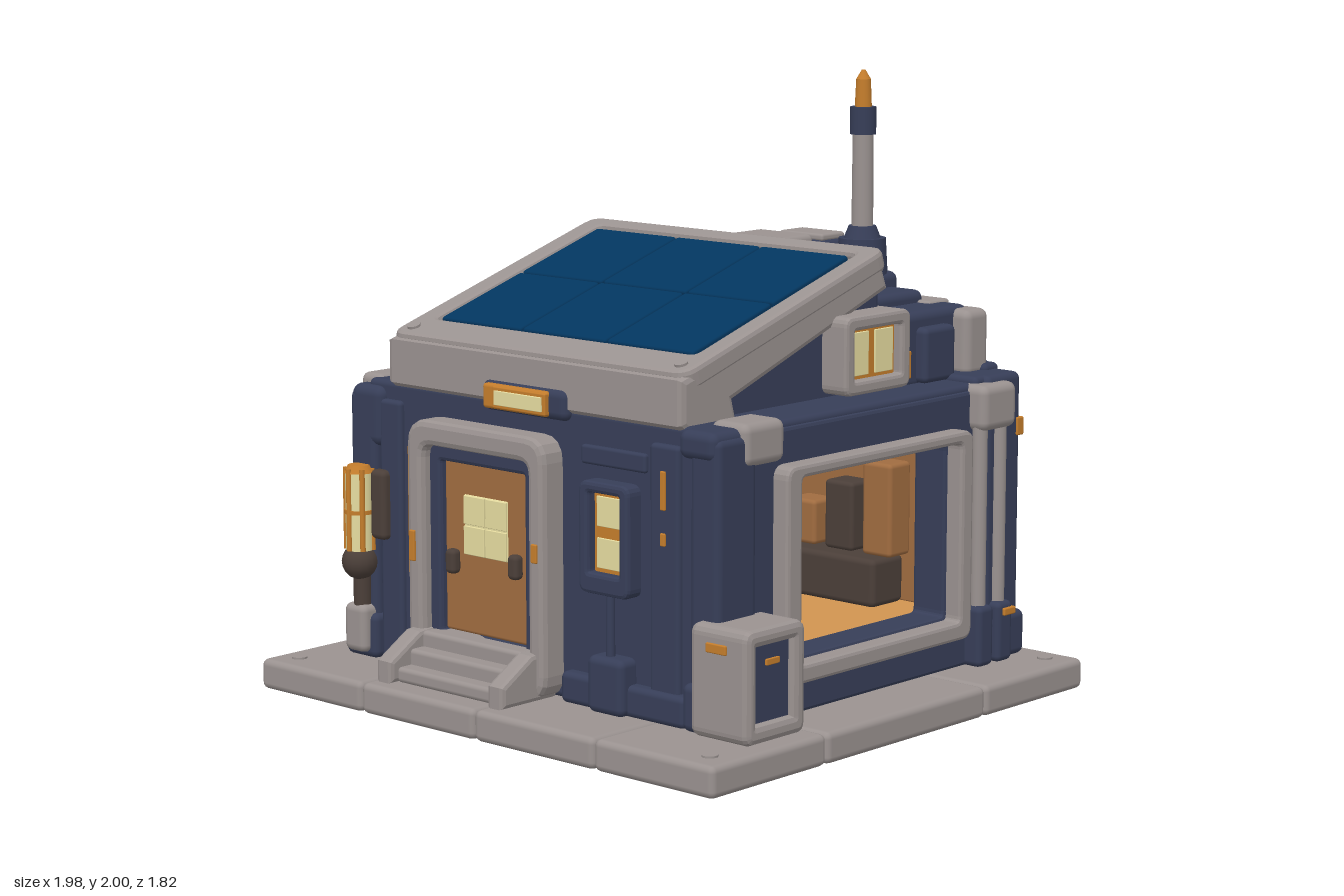
import * as THREE from 'three';
import { RoundedBoxGeometry } from 'three/addons/geometries/RoundedBoxGeometry.js';

const material = (name, color) => Object.assign(new THREE.MeshStandardMaterial({ color }), { name });

export function createModel() {
  const model = new THREE.Group();
  model.name = 'cabin';
  const grey = material('weathered grey', 0x9a9290);
  const navy = material('navy panel', 0x373e58);
  const solar = material('solar blue', 0x03365f);
  const orange = material('orange trim', 0xc47d2c);
  const tan = material('interior tan', 0xd09450);
  const brown = material('door brown', 0xa06c40);
  const glow = material('window glow', 0xe6dca0);
  const dark = material('dark brown', 0x4b3f39);

  const add = (parent, name, geo, mat, x = 0, y = 0, z = 0) => {
    const m = new THREE.Mesh(geo, mat);
    m.name = name;
    m.position.set(x, y, z);
    parent.add(m);
    return m;
  };
  // Rounded box given by its extents
  const box = (name, mat, x0, x1, y0, y1, z0, z1, r = 0.02, parent = model) => {
    const w = x1 - x0, h = y1 - y0, d = z1 - z0;
    const geo = new RoundedBoxGeometry(w, h, d, 2, Math.min(r, Math.min(w, h, d) * 0.4));
    return add(parent, name, geo, mat, (x0 + x1) / 2, (y0 + y1) / 2, (z0 + z1) / 2);
  };
  const cyl = (name, mat, r0, r1, y0, y1, x, z, parent = model) =>
    add(parent, name, new THREE.CylinderGeometry(r1, r0, y1 - y0, 16), mat, x, (y0 + y1) / 2, z);
  const rect = (path, x0, x1, y0, y1, r) => {
    path.moveTo(x0 + r, y0);
    path.lineTo(x1 - r, y0).quadraticCurveTo(x1, y0, x1, y0 + r);
    path.lineTo(x1, y1 - r).quadraticCurveTo(x1, y1, x1 - r, y1);
    path.lineTo(x0 + r, y1).quadraticCurveTo(x0, y1, x0, y1 - r);
    path.lineTo(x0, y0 + r).quadraticCurveTo(x0, y0, x0 + r, y0);
    return path;
  };
  // Plate with a rectangular opening, facing +z
  const ring = (parent, name, mat, o, h, z0, z1, r = 0.03, b = 0.012) => {
    const s = rect(new THREE.Shape(), o[0] + b, o[1] - b, o[2] + b, o[3] - b, r);
    s.holes.push(rect(new THREE.Path(), h[0] - b, h[1] + b, h[2] - b, h[3] + b, r));
    const geo = new THREE.ExtrudeGeometry(s, { depth: z1 - z0 - 2 * b, bevelSize: b,
      bevelThickness: b, bevelSegments: 2, curveSegments: 4 });
    return add(parent, name, geo, mat, 0, 0, z0 + b);
  };
  // Profile of [z, y] points drawn across x
  const prism = (name, mat, pts, x0, x1, b = 0.015) => {
    const s = new THREE.Shape(pts.map(p => new THREE.Vector2(...p)));
    const geo = new THREE.ExtrudeGeometry(s, { depth: x1 - x0 - 2 * b, bevelSize: b,
      bevelThickness: b, bevelOffset: -b, bevelSegments: 2 });
    add(model, name, geo, mat, x1 - b, 0, 0).rotation.y = -Math.PI / 2;
  };
  // Glowing panes on a backing, facing +z
  const panes = (parent, name, x0, x1, y0, y1, z, cols, rows, trim = orange, g = 0.012) => {
    box(name + 'Backing', trim, x0, x1, y0, y1, z - 0.03, z, 0.005, parent);
    const w = (x1 - x0) / cols, h = (y1 - y0) / rows;
    for (let i = 0; i < cols; i++) for (let j = 0; j < rows; j++)
      box(name + 'Pane', glow, x0 + i * w + g, x0 + (i + 1) * w - g,
        y0 + j * h + g, y0 + (j + 1) * h - g, z - 0.002, z + 0.006, 0.002, parent);
  };
  const facing = (name, angle) => {
    const g = new THREE.Group();
    g.name = name;
    g.rotation.y = angle;
    model.add(g);
    return g;
  };
  const right = facing('rightSide', Math.PI / 2);   // local x = -z
  const left = facing('leftSide', -Math.PI / 2);    // local x = z
  const back = facing('backSide', Math.PI);         // local x = -x

  // Paved base with bolts in the corners
  const xs = [-0.99, -0.51, 0, 0.51, 0.99], zs = [-0.91, -0.39, 0.39, 0.91];
  for (let i = 0; i < 4; i++) for (let j = 0; j < 3; j++)
    box('baseSlab', grey, xs[i], xs[i + 1], 0, 0.1, zs[j], zs[j + 1], 0.022);
  for (const x of [-0.9, 0.9]) for (const z of [-0.82, 0.82]) cyl('baseBolt', grey, 0.025, 0.025, 0.09, 0.106, x, z);

  // Hollow lower storey
  box('frontWall', navy, -0.77, 0.76, 0.1, 1.02, 0.5, 0.62);
  box('backWall', navy, -0.77, 0.77, 0.1, 1.04, -0.8, -0.6);
  box('ceiling', navy, -0.77, 0.76, 0.9, 1.02, -0.7, 0.6);
  box('floor', tan, -0.74, 0.73, 0.1, 0.27, -0.65, 0.55);
  ring(right, 'rightWall', navy, [-0.6, 0.75, 0.1, 1.0], [-0.31, 0.45, 0.28, 0.84], 0.64, 0.77);
  ring(left, 'leftWall', navy, [-0.75, 0.6, 0.1, 1.0], [-0.45, 0.31, 0.28, 0.84], 0.66, 0.78);
  ring(right, 'rightWindowFrame', grey, [-0.39, 0.52, 0.21, 0.89], [-0.32, 0.46, 0.27, 0.85], 0.74, 0.83);
  ring(left, 'leftWindowFrame', grey, [-0.52, 0.39, 0.21, 0.89], [-0.46, 0.32, 0.27, 0.85], 0.74, 0.85);
  ring(left, 'leftWindowRecess', brown, [-0.47, 0.33, 0.25, 0.86], [-0.25, 0.12, 0.37, 0.7], 0.66, 0.75, 0.02);
  ring(left, 'leftInnerWall', tan, [-0.47, 0.33, 0.25, 0.8], [-0.25, 0.12, 0.37, 0.7], 0.63, 0.665, 0.02);
  ring(left, 'innerWindowFrame', brown, [-0.29, 0.16, 0.34, 0.74], [-0.24, 0.11, 0.39, 0.69], 0.6, 0.645, 0.03);
  box('leftWindowBar', tan, -0.25, 0.12, 0.37, 0.7, 0.675, 0.69, 0.005, left);
  for (const z of [0.67, 0.69]) for (const x of [-0.235, -0.055])
    box('leftWindowPane', glow, x, x + 0.16, 0.385, 0.69, z, z + 0.007, 0.002, left);

  // Interior lining and furniture
  box('frontLining', tan, -0.65, 0.64, 0.27, 0.84, 0.485, 0.505, 0.005);
  box('backLining', brown, -0.65, 0.64, 0.27, 0.84, -0.605, -0.585, 0.005);
  box('leftLining', tan, -0.66, -0.64, 0.27, 0.8, 0.31, 0.5, 0.005);
  box('leftLining', tan, -0.66, -0.64, 0.27, 0.8, -0.6, -0.44, 0.005);
  cyl('chairFoot', dark, 0.07, 0.04, 0.27, 0.3, 0.25, -0.18);
  cyl('chairPost', dark, 0.016, 0.016, 0.29, 0.37, 0.25, -0.18);
  box('chairSeat', dark, 0.17, 0.33, 0.36, 0.4, -0.26, -0.1);
  add(model, 'chairBack', new THREE.SphereGeometry(0.085, 16, 10), dark, 0.17, 0.41, -0.18).scale.set(0.35, 1, 1);
  box('headrest', dark, 0.15, 0.19, 0.47, 0.515, -0.21, -0.15);
  box('crate', dark, 0.1, 0.28, 0.27, 0.39, 0.13, 0.27);
  box('desk', dark, -0.3, 0.5, 0.27, 0.43, -0.58, -0.42);
  for (let i = 0; i < 6; i++)
    box('shelfItem', i % 2 ? brown : dark, -0.4 + i * 0.16, -0.28 + i * 0.16, 0.43, 0.58 + (i % 3) * 0.08, -0.59, -0.48, 0.015);

  // Corner pillars, feet and caps
  for (const [x, z, top] of [[-0.77, 0.56, 0.98], [0.72, 0.56, 1.0], [-0.77, -0.73, 1.04], [0.73, -0.73, 1.04]]) {
    box('cornerPillar', navy, x - 0.06, x + 0.06, 0.1, top, z - 0.09, z + 0.09, 0.025);
    box('cornerFoot', navy, x - 0.075, x + 0.075, 0.1, 0.25, z - 0.11, z + 0.11, 0.025);
  }
  box('cornerCap', navy, 0.62, 0.77, 0.93, 1.02, 0.5, 0.66, 0.03);
  box('cornerCap', navy, -0.83, -0.68, 0.8, 1.0, 0.5, 0.65, 0.035);
  box('frontLeftCap', grey, -0.83, -0.73, 0.96, 1.03, 0.46, 0.6, 0.025);
  box('frontRightCap', grey, 0.64, 0.79, 0.9, 1.035, 0.35, 0.54, 0.03);
  box('backRightCap', grey, 0.63, 0.83, 0.87, 1.02, -0.75, -0.57, 0.03);
  box('backLeftCap', grey, -0.83, -0.7, 1.02, 1.26, -0.76, -0.58, 0.03);
  box('backRightPost', grey, 0.52, 0.68, 1.02, 1.24, -0.79, -0.67, 0.03);
  box('upperRearPlate', grey, 0.28, 0.53, 1.22, 1.258, -0.77, -0.66, 0.012);
  box('leftCap', grey, -0.84, -0.73, 0.9, 1.03, 0.09, 0.33, 0.03);
  box('leftRearBox', navy, -0.87, -0.76, 0.68, 0.92, -0.72, -0.54, 0.03);
  for (const z of [-0.6, -0.7]) {
    cyl('wallPipe', grey, 0.025, 0.025, 0.28, 0.9, 0.79, z);
    box('pipeFoot', navy, 0.74, 0.83, 0.1, 0.3, z - 0.04, z + 0.04);
  }
  box('rightOrangeMark', orange, 0.7, 0.797, 0.83, 0.89, -0.825, -0.79, 0.005);
  box('rightOrangeMark', orange, 0.72, 0.84, 0.255, 0.28, -0.74, -0.68, 0.005);
  box('capMark', orange, -0.8, -0.76, 1.25, 1.264, -0.64, -0.6, 0.004);

  // Back wall panels and window
  for (const [x0, x1] of [[-0.5, -0.33], [-0.31, 0.03], [0.33, 0.5]])
    box('backPanel', navy, x0, x1, 0.2, 0.97, 0.77, 0.812, 0.012, back);
  box('backPlinth', navy, -0.66, 0.66, 0.1, 0.22, 0.76, 0.83, 0.02, back);
  box('backCornice', navy, -0.7, 0.7, 0.98, 1.06, 0.74, 0.82, 0.02, back);
  for (const x of [-0.58, 0.58]) box('backRib', navy, x - 0.065, x + 0.065, 0.1, 1.06, 0.75, 0.845, 0.02, back);
  panes(back, 'backWindow', 0.04, 0.32, 0.46, 0.71, 0.815, 2, 1, glow, 0.004);
  box('backMark', orange, -0.3, -0.26, 0.86, 0.9, 0.79, 0.818, 0.004, back);

  // Upper storey and tilted roof
  prism('gable', navy, [[0.56, 0.98], [0.56, 1.08], [-0.34, 1.36], [-0.34, 0.98]], -0.61, 0.58);
  box('upperRear', navy, -0.62, 0.62, 1.0, 1.25, -0.76, -0.3, 0.03);
  box('upperRearStep', navy, -0.42, 0.48, 1.22, 1.29, -0.7, -0.3, 0.03);
  prism('roofSlab', grey, [[0.61, 1.0], [0.635, 1.02], [0.635, 1.16], [-0.3, 1.44], [-0.34, 1.34], [0.4, 1.075], [0.38, 1.0]], -0.66, 0.62, 0.02);
  const roof = new THREE.Group();
  roof.name = 'solarRoof';
  roof.position.set(-0.02, 1.309, 0.135);
  roof.rotation.x = -Math.PI / 2 + 0.3;
  model.add(roof);
  ring(roof, 'panelRim', grey, [-0.642, 0.642, -0.505, 0.49], [-0.555, 0.565, -0.37, 0.425], -0.05, 0.022, 0.04, 0.016);
  for (let i = 0; i < 3; i++) for (let j = 0; j < 2; j++) {
    const x = -0.547 + i * 0.367, y = -0.36 + j * 0.387;
    box('solarCell', solar, x, x + 0.36, y, y + 0.38, -0.02, 0.02, 0.01, roof);
  }
  for (const x of [-0.58, 0.58]) add(roof, 'rimBolt', new THREE.CylinderGeometry(0.022, 0.022, 0.015, 12), grey, x, -0.45, 0.022).rotation.x = Math.PI / 2;

  // Dormer windows on both sides
  for (const [g, a, b, out] of [[right, 0.06, 0.38, 0.68], [left, -0.38, -0.08, 0.71]]) {
    ring(g, 'dormerFrame', grey, [a, b, 1.03, 1.28], [a + 0.045, b - 0.045, 1.075, 1.235], 0.55, out, 0.02);
    panes(g, 'dormer', a + 0.04, b - 0.04, 1.07, 1.24, out - 0.035, 2, 1, orange, 0.016);
  }
  box('upperOrangeMark', orange, 0.6, 0.627, 1.04, 1.13, -0.45, -0.41, 0.005);
  box('ledgeBox', navy, 0.58, 0.66, 1.02, 1.2, -0.64, -0.48, 0.02);

  // Rooftop machinery and antenna
  box('roofUnit', grey, -0.26, 0.09, 1.24, 1.41, -0.7, -0.36, 0.03);
  box('roofUnitLid', grey, -0.2, 0.04, 1.39, 1.44, -0.66, -0.4, 0.02);
  box('roofUnitSide', navy, 0.07, 0.1, 1.26, 1.4, -0.68, -0.37, 0.012);
  box('roofVent', navy, -0.16, 0.05, 1.2, 1.42, -0.83, -0.69, 0.03);
  box('roofVentLid', grey, -0.15, 0.04, 1.41, 1.435, -0.82, -0.7, 0.01);
  box('antennaFoot', navy, 0.18, 0.36, 1.25, 1.34, -0.72, -0.54, 0.03);
  cyl('antennaBase', navy, 0.085, 0.078, 1.33, 1.45, 0.27, -0.63);
  cyl('antennaNeck', navy, 0.065, 0.045, 1.44, 1.49, 0.27, -0.63);
  cyl('antennaPole', grey, 0.036, 0.034, 1.48, 1.81, 0.27, -0.63);
  cyl('antennaCollar', navy, 0.043, 0.043, 1.79, 1.88, 0.27, -0.63);
  cyl('antennaTip', orange, 0.028, 0.024, 1.88, 1.97, 0.27, -0.63);
  cyl('antennaPoint', orange, 0.024, 0.006, 1.97, 2, 0.27, -0.63);
  box('antennaMark', orange, 0.33, 0.367, 1.3, 1.32, -0.63, -0.55, 0.004);

  // Doorway, door and steps
  ring(model, 'doorFrame', grey, [-0.5, 0.11, 0.1, 0.93], [-0.43, 0.04, 0.16, 0.85], 0.58, 0.71, 0.06, 0.02);
  ring(model, 'doorLining', navy, [-0.45, 0.06, 0.14, 0.87], [-0.385, -0.01, 0.25, 0.8], 0.6, 0.67, 0.02);
  box('door', brown, -0.39, 0, 0.25, 0.81, 0.6, 0.645, 0.01);
  panes(model, 'doorWindow', -0.3, -0.105, 0.505, 0.7, 0.648, 2, 2, glow, 0.003);
  for (const [x, y] of [[-0.34, 0.48], [-0.06, 0.5]]) box('doorHandle', dark, x - 0.022, x + 0.022, y - 0.04, y + 0.04, 0.64, 0.68);
  for (const [x, y, h] of [[-0.47, 0.52, 0.05], [0.075, 0.57, 0.03]]) box('doorLamp', orange, x - 0.012, x + 0.012, y - h, y + h, 0.7, 0.718, 0.004);
  for (let i = 0; i < 3; i++) box('step', grey, -0.43, 0.02, 0.1, 0.25 - i * 0.05, 0.6, 0.72 + i * 0.055, 0.015);
  for (const x of [-0.49, 0.01]) prism('stepRail', grey, [[0.62, 0.1], [0.62, 0.26], [0.73, 0.25], [0.86, 0.17], [0.86, 0.1]], x, x + 0.07);

  // Lit sign bar above the door
  box('signHousing', navy, -0.22, 0.15, 0.98, 1.08, 0.58, 0.65, 0.03);
  box('signTrim', orange, -0.2, 0.08, 0.99, 1.07, 0.6, 0.663, 0.012);
  panes(model, 'signLight', -0.15, 0.08, 0.995, 1.065, 0.668, 1, 1);

  // Small front window with its pipe and junction box
  ring(model, 'frontWindowFrame', navy, [0.23, 0.44, 0.47, 0.82], [0.27, 0.4, 0.535, 0.785], 0.6, 0.68, 0.02);
  panes(model, 'frontWindow', 0.265, 0.405, 0.53, 0.79, 0.645, 1, 2, orange, 0.018);
  cyl('frontPipe', navy, 0.014, 0.014, 0.26, 0.48, 0.34, 0.65);
  box('junctionBox', navy, 0.27, 0.42, 0.1, 0.28, 0.6, 0.69, 0.025);
  box('frontPanel', navy, 0.2, 0.47, 0.86, 0.92, 0.6, 0.635, 0.01);
  box('frontPilaster', navy, 0.49, 0.61, 0.1, 0.96, 0.6, 0.64, 0.015);
  box('frontPilaster', navy, -0.7, -0.6, 0.1, 0.96, 0.6, 0.64, 0.015);
  box('frontPlinth', navy, 0.13, 0.65, 0.1, 0.2, 0.6, 0.66, 0.02);
  box('orangeStrip', orange, 0.54, 0.56, 0.76, 0.88, 0.63, 0.647, 0.004);
  box('orangeMark', orange, 0.54, 0.56, 0.65, 0.69, 0.63, 0.647, 0.004);
  box('orangeStrip', orange, -0.58, -0.56, 0.4, 0.82, 0.6, 0.628, 0.004);

  // Caged lantern at the front left
  box('lanternBracket', dark, -0.72, -0.65, 0.5, 0.73, 0.62, 0.67, 0.02);
  cyl('lanternGlass', glow, 0.045, 0.045, 0.45, 0.72, -0.765, 0.67);
  for (let i = 0; i < 6; i++) {
    const a = i * Math.PI / 3;
    cyl('lanternBar', orange, 0.009, 0.009, 0.46, 0.73, -0.765 + 0.045 * Math.sin(a), 0.67 + 0.045 * Math.cos(a));
  }
  cyl('lanternBand', orange, 0.05, 0.05, 0.58, 0.593, -0.765, 0.67);
  cyl('lanternTop', orange, 0.05, 0.035, 0.715, 0.74, -0.765, 0.67);
  add(model, 'lanternBase', new THREE.SphereGeometry(0.06, 16, 10), dark, -0.765, 0.42, 0.67);
  cyl('lanternPipe', dark, 0.03, 0.03, 0.2, 0.38, -0.765, 0.66);
  box('lanternFoot', grey, -0.82, -0.72, 0.12, 0.28, 0.6, 0.7, 0.025);

  // Utility cabinet at the front right
  ring(right, 'cabinet', grey, [-0.69, -0.42, 0.1, 0.45], [-0.64, -0.475, 0.16, 0.395], 0.7, 0.93, 0.015, 0.02);
  box('cabinetPanel', navy, -0.65, -0.465, 0.15, 0.405, 0.72, 0.905, 0.005, right);
  box('cabinetLabel', orange, -0.58, -0.52, 0.33, 0.35, 0.9, 0.912, 0.003, right);
  box('cabinetMark', orange, 0.77, 0.85, 0.37, 0.4, 0.68, 0.697, 0.004);
  return model;
}
